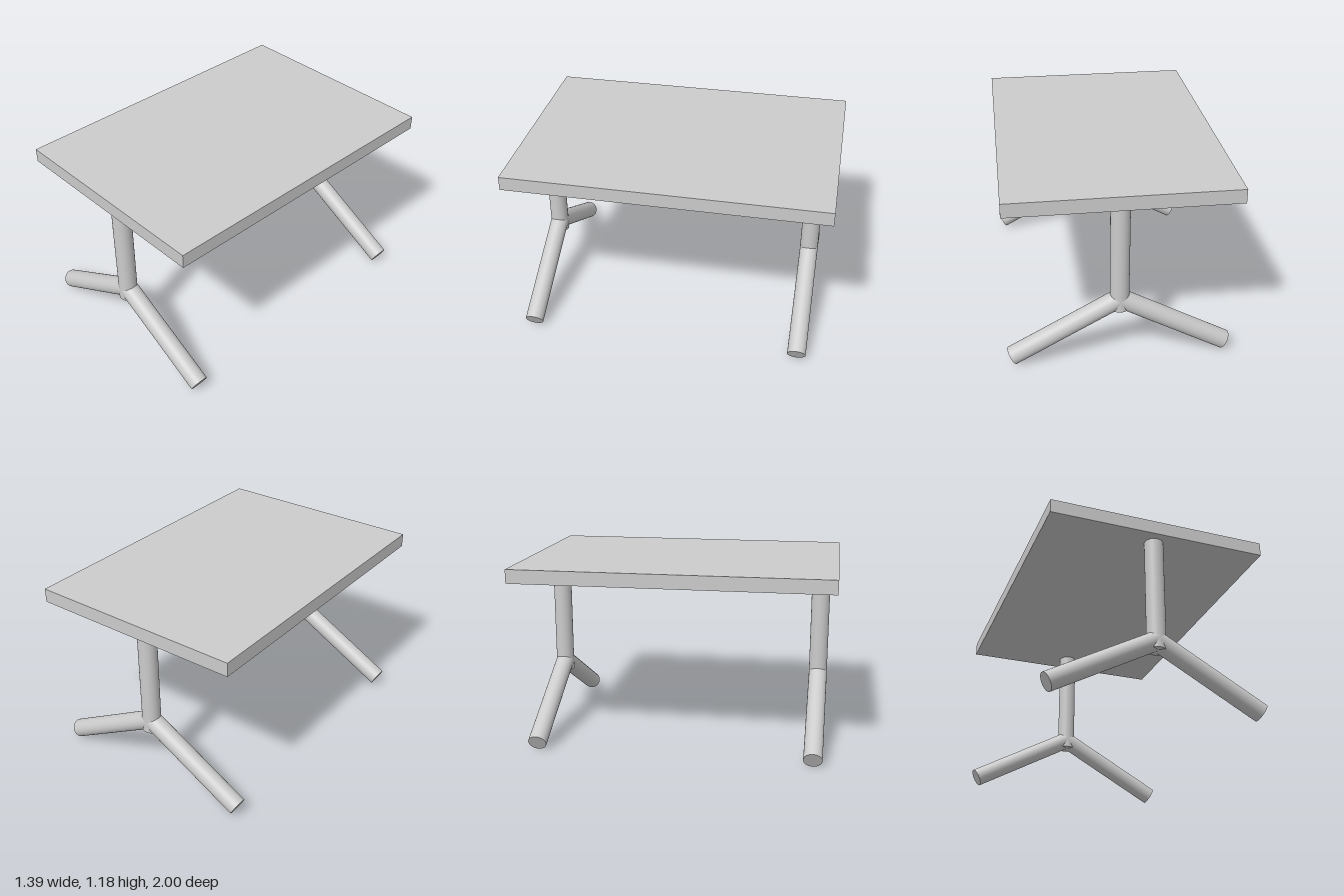
import * as THREE from 'three';

const RADIUS = 0.059;
const material = new THREE.MeshStandardMaterial({ color: 0xcccccc });

// Closed round bar running between two points
function bar(name, from, to) {
  const dir = to.clone().sub(from);
  const mesh = new THREE.Mesh(new THREE.CylinderGeometry(RADIUS, RADIUS, dir.length(), 48), material);
  mesh.name = name;
  mesh.position.copy(from).add(to).multiplyScalar(0.5);
  mesh.quaternion.setFromUnitVectors(new THREE.Vector3(0, 1, 0), dir.normalize());
  return mesh;
}

// Upright post that splits into two splayed legs
function trestle(name, z) {
  const group = new THREE.Group();
  group.name = name;
  group.position.set(0.002, 0, z);
  group.add(bar('post', new THREE.Vector3(0, 0.353, 0), new THREE.Vector3(0, 1.11, 0)));
  for (const side of [-1, 1]) {
    const hub = new THREE.Vector3(0, 0.42, 0);
    const foot = new THREE.Vector3(side * 0.664, 0.053, 0);
    group.add(bar(side > 0 ? 'leftLeg' : 'rightLeg', hub, foot));
  }
  return group;
}

export function createModel() {
  const model = new THREE.Group();
  model.name = 'table';

  // Flat slab top
  const top = new THREE.Mesh(new THREE.BoxGeometry(1.386, 0.088, 2), material);
  top.name = 'tableTop';
  top.position.set(-0.004, 1.138, 0);
  model.add(top);

  // Supports near each end
  model.add(trestle('frontTrestle', 0.892), trestle('backTrestle', -0.858));
  return model;
}
